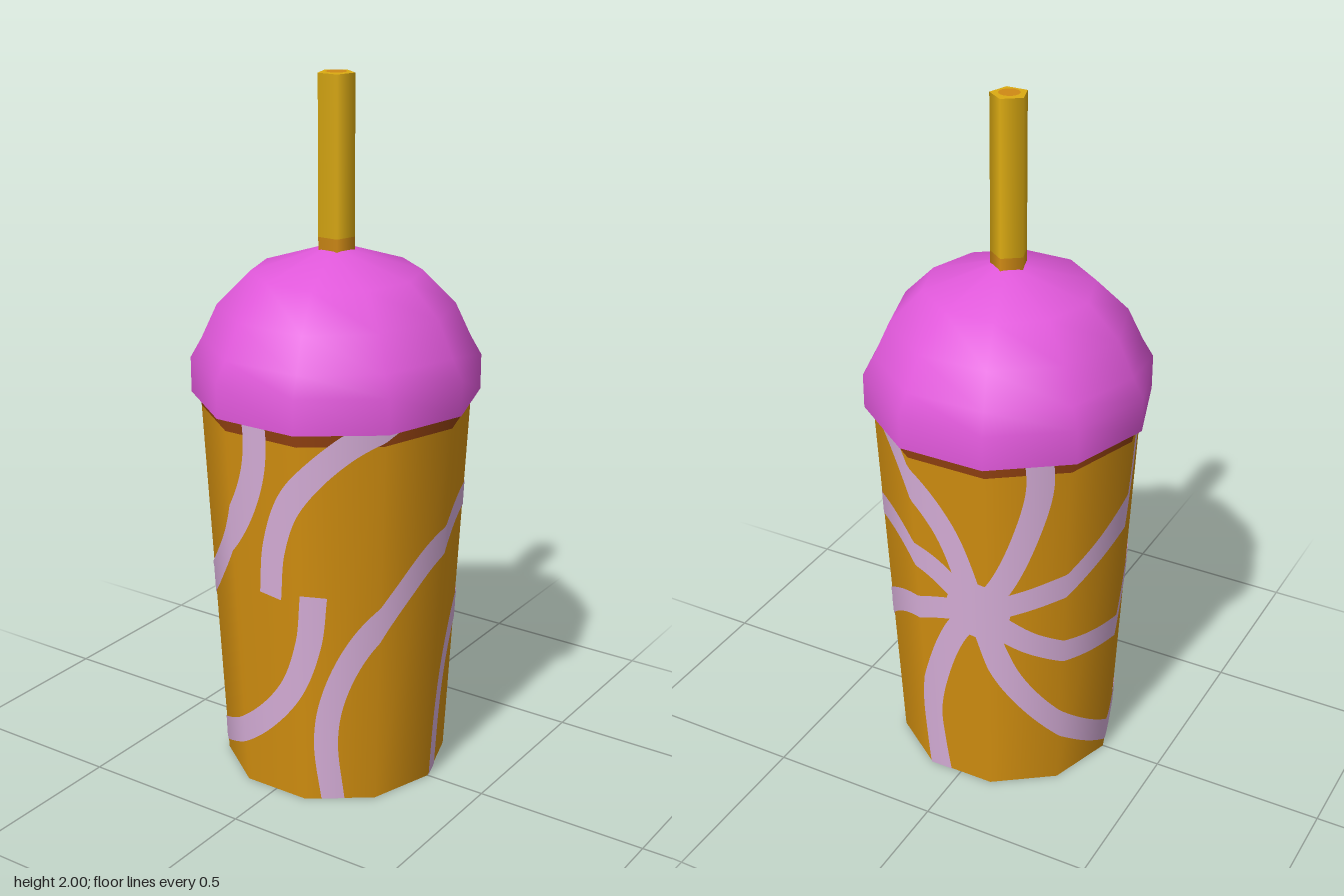
import * as THREE from 'three';

const SIDES = 10, START = Math.PI / 10;
const R0 = 0.32, R1 = 0.378, H = 1.12, BAND = 1.08;
const CENTRE = THREE.MathUtils.degToRad(193), CENTRE_Y = 0.632; // pinwheel position on the cup
const MEAN_R = 0.345;

const cupRadius = (y) => R0 + (R1 - R0) * y / H;

const colour = (name, hex, side = THREE.FrontSide) => {
  const m = new THREE.MeshStandardMaterial({ color: hex, side });
  m.name = name;
  return m;
};

// Lay a flat geometry (u to the right, v up) on the ten-sided cup wall
function wrapOnCup(geo, toUV) {
  const pos = geo.attributes.position, nor = geo.attributes.normal;
  const step = 2 * Math.PI / SIDES;
  for (let i = 0; i < pos.count; i++) {
    const [u, v] = toUV(pos.getX(i), pos.getY(i));
    const a = CENTRE + u / MEAN_R;
    const y = THREE.MathUtils.clamp(CENTRE_Y + v, 0.001, H);
    const local = THREE.MathUtils.euclideanModulo(a - START, step) - step / 2;
    const r = cupRadius(y) * Math.cos(step / 2) / Math.cos(local) + 0.003;
    pos.setXYZ(i, r * Math.sin(a), y, r * Math.cos(a));
    nor.setXYZ(i, Math.sin(a), -0.05, Math.cos(a));
  }
  return geo;
}

// One curved arm; points are [degrees from the pinwheel centre, height from it]
function armGeometry(points, sign) {
  const k = MEAN_R * Math.PI / 180;
  const curve = new THREE.CatmullRomCurve3(
    points.map(([deg, v]) => new THREE.Vector3(sign * deg * k, sign * v, 0)));
  return wrapOnCup(new THREE.PlaneGeometry(1, 1, 140, 10), (x, y) => {
    const t = THREE.MathUtils.clamp(x + 0.5, 0, 1);
    const p = curve.getPoint(t), d = curve.getTangent(t), w = y * 0.072;
    return [p.x - d.y * w, p.y + d.x * w];
  });
}

export function createModel() {
  const amber = colour('amber cup', 0xd28f10);
  const brown = colour('brown', 0x8f4010);
  const lilac = colour('lilac swirl', 0xd6aed8, THREE.DoubleSide);
  const pink = colour('pink lid', 0xe058da, THREE.DoubleSide);
  const yellow = colour('yellow straw', 0xdcab12);
  const orange = colour('orange straw', 0xd08a14);

  const model = new THREE.Group();
  const add = (name, geo, mat, y = 0, parent = model) => {
    const mesh = new THREE.Mesh(geo, mat);
    mesh.name = name;
    mesh.position.y = y;
    parent.add(mesh);
    return mesh;
  };
  const lathe = (pts) => new THREE.LatheGeometry(
    pts.map(([r, y]) => new THREE.Vector2(r, y)), SIDES, START);

  // Cup with brown base and brown band below the lid
  const rb = cupRadius(BAND);
  add('cup', new THREE.CylinderGeometry(rb, R0, BAND, SIDES, 1, false, START),
    [amber, brown, brown], BAND / 2);
  add('cupBand', new THREE.CylinderGeometry(R1, rb, H - BAND, SIDES, 1, false, START),
    brown, (H + BAND) / 2);

  // Pinwheel: four arms, each repeated by a half turn
  const swirl = new THREE.Group();
  swirl.name = 'swirl';
  model.add(swirl);
  const arms = [
    [[0, 0], [12, 0.1], [22, 0.245], [28, 0.4], [27, 0.52], [24, 0.66]],
    [[0, 0], [31, 0.05], [66, 0.16], [86, 0.295], [94, 0.43], [97, 0.66]],
    [[0, 0], [-28, 0.125], [-66, 0.178], [-100, 0.13], [-126, 0], [-147, -0.14],
      [-160, -0.3], [-164, -0.44], [-160, -0.66]],
    [[0, 0], [16, -0.25], [42, -0.43], [75, -0.56], [97, -0.59], [124, -0.54],
      [155, -0.44], [178, -0.295], [188, -0.14], [191, 0.01]],
  ];
  arms.forEach((pts, i) => [1, -1].forEach((s) =>
    add(`swirlArm${i + 1}${s > 0 ? 'a' : 'b'}`, armGeometry(pts, s), lilac, 0, swirl)));
  add('swirlCentre', wrapOnCup(new THREE.RingGeometry(0.001, 0.095, 28, 10),
    (x, y) => [x, y]), lilac, 0, swirl);

  // Domed lid
  add('lid', lathe([[0.403, 1.12], [0.403, 1.22], [0.372, 1.275], [0.328, 1.37],
    [0.236, 1.463], [0.048, 1.526], [0, 1.528]]), pink);
  add('lidUnderside', lathe([[0.36, 1.12], [0.403, 1.12]]), pink);

  // Five-sided straw with a darker foot and opening
  const strawPart = (name, y0, y1, mat, r) => add(name,
    new THREE.CylinderGeometry(r, r, y1 - y0, 5, 1, false, Math.PI / 5), mat, (y0 + y1) / 2);
  strawPart('strawFoot', 1.5, 1.56, orange, 0.052);
  strawPart('straw', 1.56, 1.998, yellow, 0.052);
  const hole = add('strawOpening', new THREE.CircleGeometry(0.029, 16), orange, 2);
  hole.rotation.x = -Math.PI / 2;

  return model;
}
